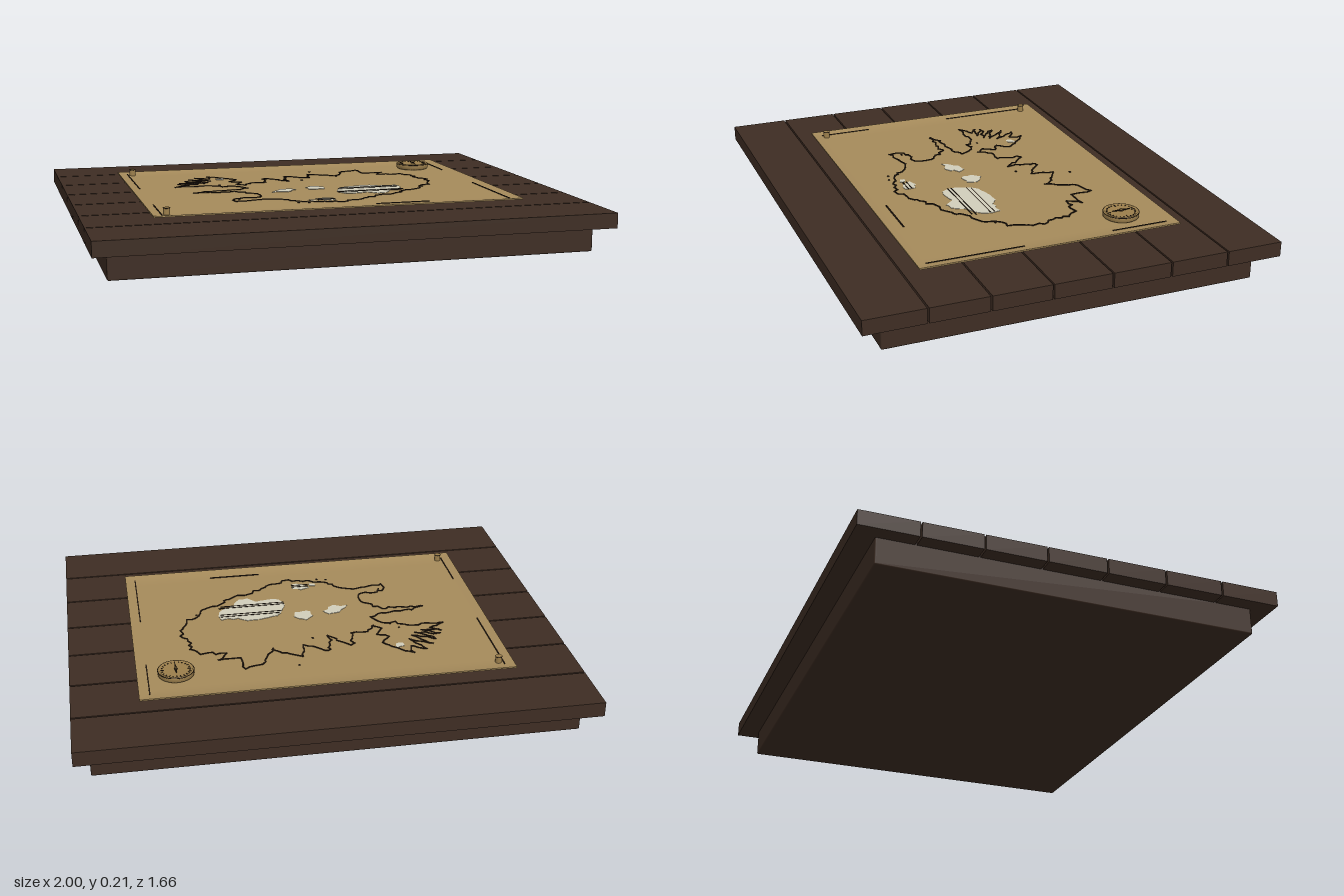
import * as THREE from 'three';
import { mergeGeometries } from 'three/addons/utils/BufferGeometryUtils.js';
import { RoundedBoxGeometry } from 'three/addons/geometries/RoundedBoxGeometry.js';

const mat = (name, color) => {
  const m = new THREE.MeshStandardMaterial({ color });
  m.name = name;
  return m;
};

// Small seeded generator for the ragged coast
let seed = 7;
const rand = () => (seed = (seed * 16807) % 2147483647) / 2147483647;
const jitter = (a) => (rand() - 0.5) * 2 * a;

// Flat list of hundredths -> Vector2(x, z)
const toPoints = (list) => {
  const out = [];
  for (let i = 0; i < list.length; i += 2) out.push(new THREE.Vector2(list[i] / 100, list[i + 1] / 100));
  return out;
};

// Breaks each segment into shorter, wandering ones
const ragged = (pts, step, amount) => {
  const out = [];
  for (let i = 0; i < pts.length - 1; i++) {
    const n = Math.max(1, Math.round(pts[i].distanceTo(pts[i + 1]) / step));
    for (let k = 0; k < n; k++) {
      const p = pts[i].clone().lerp(pts[i + 1], k / n);
      out.push(p.add(new THREE.Vector2(jitter(amount), jitter(amount))));
    }
  }
  out.push(pts[pts.length - 1].clone());
  return out;
};

// Thin ink stroke as a box between two points
const stroke = (a, b, y, width, height = 0.003) => {
  const g = new THREE.BoxGeometry(a.distanceTo(b) + width * 0.6, height, width);
  g.rotateY(-Math.atan2(b.y - a.y, b.x - a.x));
  return g.translate((a.x + b.x) / 2, y, (a.y + b.y) / 2);
};
const polyline = (pts, y, width) =>
  mergeGeometries(pts.slice(1).map((p, i) => stroke(pts[i], p, y, width)));

export function createModel() {
  const model = new THREE.Group();
  const wood = mat('darkWood', 0x3e2d23);
  const paper = mat('parchment', 0xa68b5b);
  const ink = mat('ink', 0x20170f);
  const ice = mat('ice', 0xd2cebb);
  const brass = mat('brass', 0x9c7f4c);

  const add = (name, geo, material, x = 0, y = 0, z = 0, parent = model) => {
    const m = new THREE.Mesh(geo, material);
    m.name = name;
    m.position.set(x, y, z);
    parent.add(m);
    return m;
  };

  // Table: plinth and seven spaced planks
  add('plinth', new RoundedBoxGeometry(1.88, 0.12, 1.49, 2, 0.006), wood, 0, 0.06, 0);
  const seams = [-0.832, -0.597, -0.36, -0.12, 0.117, 0.355, 0.59, 0.832];
  for (let i = 0; i < 7; i++) {
    const depth = seams[i + 1] - seams[i] - 0.007;
    add('plank', new THREE.BoxGeometry(2, 0.06, depth), wood, 0, 0.135, (seams[i] + seams[i + 1]) / 2);
  }

  // Map sheet with edges curling up
  const sheet = new THREE.BoxGeometry(1.48, 0.006, 1.07, 74, 1, 54);
  const pos = sheet.attributes.position;
  for (let i = 0; i < pos.count; i++) {
    const d = Math.max((Math.abs(pos.getX(i)) - 0.66) / 0.08, (Math.abs(pos.getZ(i)) - 0.455) / 0.08, 0);
    pos.setY(i, pos.getY(i) + d * d * 0.008);
  }
  sheet.computeVertexNormals();
  add('mapSheet', sheet, paper, 0, 0.173, -0.005);

  // Coastline: north, east and south shores, then the western peninsulas
  const shore = toPoints([
    -25, -10, -22, -15, -16, -14, -14, -25, -10, -21, -6, -15, -4, -28, 1, -24, 5, -21, 7, -30, 12, -28,
    16, -26, 18, -21, 21, -29, 25, -33, 31, -36, 33, -28, 41, -28, 38, -23, 47, -21, 51, -17, 51, -10,
    54, -5, 52, 2, 50, 8, 45, 11, 43, 17, 35, 20, 30, 25, 19, 30, 11, 35, 3, 38, -7, 36, -13, 34, -18, 27,
    -24, 25, -32, 26, -38, 27, -37, 21, -26, 20, -25, 13, -29, 9, -32, 5, -42, 5, -51, 4, -45, 2, -32, 1,
    -27, -2, -29, -7, -37, -9, -40, -12, -48, -11, -55, -12,
  ]);
  const fjords = toPoints([
    -55, -12, -49, -16, -53, -18, -44, -16, -51, -21, -42, -18, -49, -25, -40, -21, -47, -29, -38, -24,
    -43, -33, -37, -29, -37, -35, -31, -30, -26, -24, -30, -20, -25, -17, -29, -13, -25, -10,
  ]);
  add('coastline', polyline(ragged(shore, 0.02, 0.009), 0.1772, 0.006), ink);
  add('fjords', polyline(ragged(fjords, 0.02, 0.007), 0.1772, 0.006), ink);

  // Islets
  const islets = toPoints([-10, 37, -14, 36, 10, -37, -36, -13, -33, -9, 46, 12, 1, -16, -35, 23]);
  add('islets', mergeGeometries(islets.map((p) =>
    new THREE.BoxGeometry(0.008, 0.003, 0.007).translate(p.x, 0.1772, p.y))), ink);

  // Ice caps as thin ragged plates
  const caps = [
    [8, 14, 10, 8, 14, 5, 20, 4, 24, 3, 29, 6, 36, 6, 37, 10, 35, 14, 30, 18, 28, 22, 23, 24, 20, 20, 14, 21, 9, 20],
    [-18, 10, -14, 5, -9, 3, -8, 7, -12, 11],
    [-2, 3, 1, 0, 5, 3, 5, 7, 1, 8, -2, 7],
    [-5, 30, -2, 28, 2, 30, 2, 34, -3, 34],
    [-35, -29, -31, -30, -31, -26, -34, -26],
    [-8, 31, -6, 31, -6, 33, -8, 33],
  ];
  for (const cap of caps) {
    const pts = toPoints(cap);
    const edge = ragged([...pts, pts[0]], 0.02, 0.006).slice(0, -1);
    const shape = new THREE.Shape(edge.map((p) => new THREE.Vector2(p.x, -p.y)));
    const geo = new THREE.ExtrudeGeometry(shape, { depth: 0.002, bevelEnabled: false }).rotateX(-Math.PI / 2);
    add('iceCap', geo, ice, 0, 0.1757, 0);
  }

  // Straight ink lines [x1, z1, x2, z2]: ice contours, scale bar, border
  const line = (name, [x1, z1, x2, z2], y, w) =>
    add(name, stroke(new THREE.Vector2(x1, z1), new THREE.Vector2(x2, z2), y, w), ink);
  [[0.11, 0.083, 0.36, 0.083], [0.1, 0.1, 0.36, 0.1], [0.08, 0.16, 0.36, 0.16], [0.08, 0.175, 0.35, 0.175],
    [-0.05, 0.31, 0.02, 0.31], [-0.05, 0.325, 0.02, 0.325]].forEach((l) => line('iceContour', l, 0.1775, 0.004));
  line('scaleBar', [0.15, 0.463, 0.365, 0.463], 0.1775, 0.006);
  [[-0.702, -0.5, -0.702, -0.11], [-0.702, 0.27, -0.702, 0.49], [0.698, -0.5, 0.698, -0.27],
    [0.698, 0.1, 0.698, 0.49]].forEach((l) => line('borderLine', l, 0.1785, 0.005));

  // Corner pins on the left edge
  for (const z of [-0.48, 0.475]) {
    add('pin', new THREE.CylinderGeometry(0.013, 0.013, 0.03, 20), brass, -0.682, 0.19, z);
    add('pinRing', new THREE.TorusGeometry(0.013, 0.0015, 6, 24).rotateX(Math.PI / 2), ink, -0.682, 0.203, z);
  }

  // Compass: turned body, dial ring, ticks, needle and hub
  const compass = new THREE.Group();
  compass.name = 'compass';
  compass.position.set(0.587, 0.176, -0.36);
  model.add(compass);
  const profile = [[0, 0], [0.064, 0], [0.071, 0.005], [0.072, 0.02], [0.069, 0.026], [0.064, 0.026], [0.062, 0.023], [0, 0.023]];
  add('compassBody', new THREE.LatheGeometry(profile.map(([r, y]) => new THREE.Vector2(r, y)), 40), brass, 0, 0, 0, compass);
  add('compassRim', new THREE.TorusGeometry(0.0715, 0.0015, 6, 40).rotateX(Math.PI / 2), ink, 0, 0.023, 0, compass);
  const ticks = [];
  for (let i = 0; i < 24; i++) {
    ticks.push(new THREE.BoxGeometry(i % 6 ? 0.006 : 0.014, 0.002, 0.003)
      .translate(i % 6 ? 0.056 : 0.052, 0.024, 0).rotateY((i * Math.PI) / 12));
  }
  add('compassTicks', mergeGeometries(ticks), ink, 0, 0, 0, compass);
  const needle = new THREE.CylinderGeometry(0.006, 0.006, 0.003, 4).scale(1, 1, 6.5);
  add('compassNeedle', needle, ink, 0, 0.028, 0, compass);
  add('compassHub', new THREE.CylinderGeometry(0.005, 0.006, 0.012, 12), brass, 0, 0.028, 0, compass);

  return model;
}
